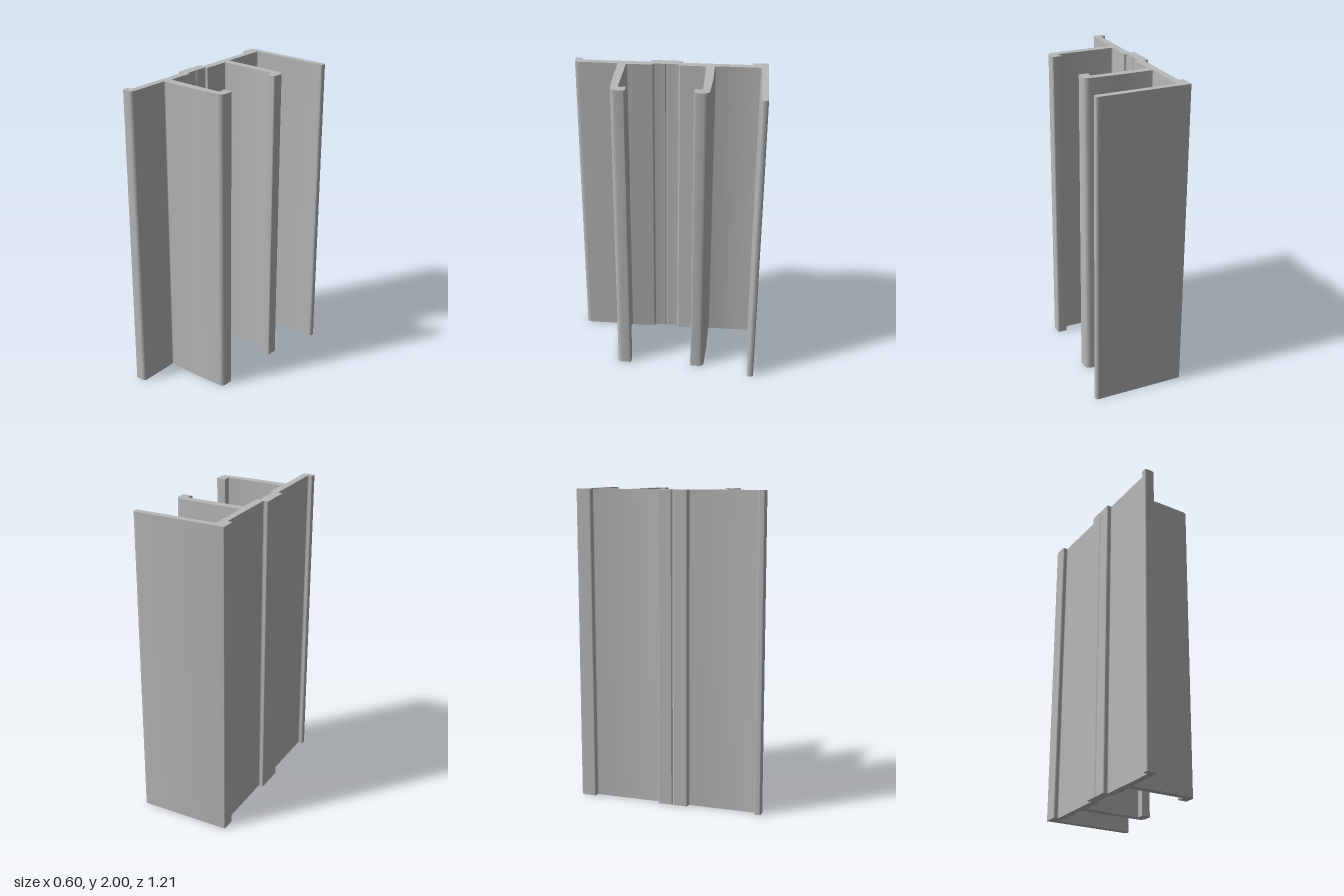
import * as THREE from 'three';
import { toCreasedNormals } from 'three/addons/utils/BufferGeometryUtils.js';

const HEIGHT = 2;
const MIRROR_Z = 0.027; // the two hooked arms mirror about this line

// Closed outline from [x, z, cornerRadius] points; shape y is -z
function roundedOutline(points) {
  const shape = new THREE.Shape();
  const at = (i) => {
    const p = points[(i + points.length) % points.length];
    return new THREE.Vector2(p[0], -p[1]);
  };
  const toward = (a, b, r) => b.clone().sub(a).setLength(r).add(a);
  points.forEach(([, , r = 0], i) => {
    const c = at(i);
    const a = r ? toward(c, at(i - 1), r) : c;
    if (i === 0) shape.moveTo(a.x, a.y);
    else shape.lineTo(a.x, a.y);
    if (r) {
      const b = toward(c, at(i + 1), r);
      shape.quadraticCurveTo(c.x, c.y, b.x, b.y);
    }
  });
  shape.closePath();
  return shape;
}

export function createModel() {
  const group = new THREE.Group();
  group.name = 'framingProfile';
  const aluminium = new THREE.MeshStandardMaterial({ color: 0xb8b8b8 });
  aluminium.name = 'grey aluminium';

  // Hooked arm, from the web outside, round the lip, to the centre groove
  const arm = [
    [-0.225, -0.276, 0.01], [0, -0.276], [0.217, -0.266, 0.036],
    [0.217, -0.176, 0.012], [0.152, -0.176, 0.009], [0.153, -0.19, 0.003],
    [0.161, -0.2, 0.005], [0.156, -0.224, 0.005],
    [-0.218, -0.224, 0.012], [-0.218, -0.057, 0.006],
    [-0.238, -0.054, 0.008], [-0.238, 0.019], [-0.245, MIRROR_Z],
  ];
  const mirroredArm = arm.slice(0, -1).reverse()
    .map(([x, z, r]) => [x, 2 * MIRROR_Z - z, r]);

  const outline = [
    // long rear flange with a rounded tip
    [-0.3, -0.608, 0.008], [0.298, -0.608, 0.02], [0.298, -0.567, 0.02],
    [-0.225, -0.567, 0.012],
    ...arm,
    ...mirroredArm,
    // front foot
    [-0.225, 0.606, 0.03], [-0.3, 0.606, 0.01], [-0.3, 0.565, 0.01],
    [-0.268, 0.565, 0.009],
    // outer face of the web with its grooved rib
    [-0.268, 0.125, 0.008], [-0.3, 0.125, 0.01], [-0.3, 0.036],
    [-0.294, MIRROR_Z], [-0.3, 0.018], [-0.3, -0.071, 0.01],
    [-0.268, -0.071, 0.008], [-0.268, -0.51, 0.008], [-0.3, -0.51, 0.01],
  ];

  const geometry = new THREE.ExtrudeGeometry(roundedOutline(outline), {
    depth: HEIGHT, bevelEnabled: false, curveSegments: 12,
  });
  geometry.rotateX(-Math.PI / 2);

  const profile = new THREE.Mesh(toCreasedNormals(geometry, 0.35), aluminium);
  profile.name = 'extrudedProfile';
  group.add(profile);
  return group;
}
